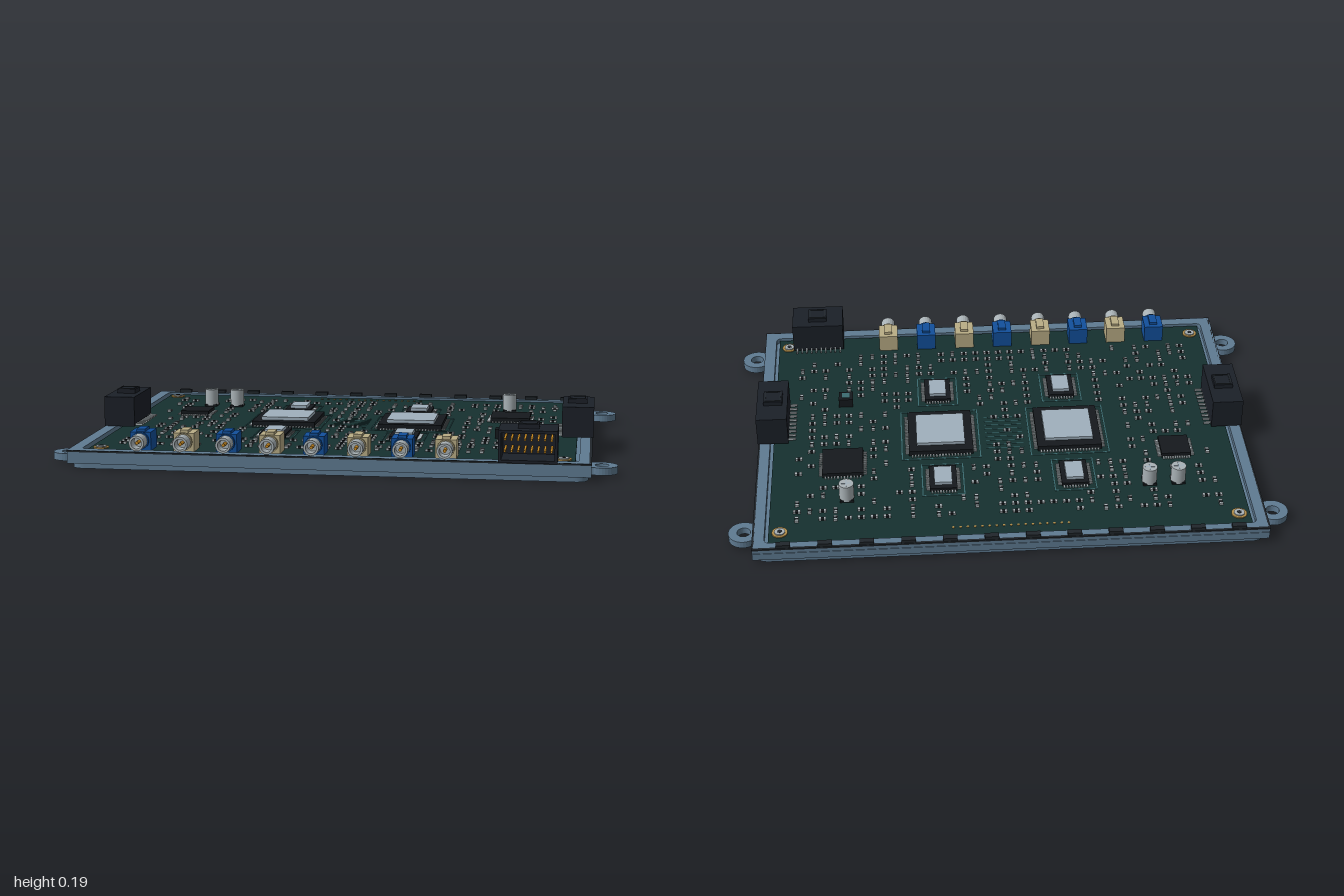
import * as THREE from 'three';
import { mergeGeometries } from 'three/addons/utils/BufferGeometryUtils.js';

const mat = (color) => new THREE.MeshStandardMaterial({ color });
const M = {
  metal: mat(0x5f7b92), board: mat(0x15302f), black: mat(0x1b2028), chip: mat(0x15191d),
  lid: mat(0x9fb0bd), pad: mat(0xa9b2b6), gold: mat(0xb08d4a), pin: mat(0xc98a22),
  blue: mat(0x12509c), beige: mat(0xb9ad86), line: mat(0x3b6b70), dark: mat(0x20262b),
};
const TOP = 0.058; // board surface height

function add(parent, name, geo, material, x = 0, y = 0, z = 0) {
  const m = new THREE.Mesh(geo, material);
  m.name = name;
  m.position.set(x, y, z);
  parent.add(m);
  return m;
}
const box = (w, h, d, x = 0, y = 0, z = 0) => new THREE.BoxGeometry(w, h, d).translate(x, y, z);
const cyl = (r, h, x = 0, y = 0, z = 0, n = 24) => new THREE.CylinderGeometry(r, r, h, n).translate(x, y, z);
const extrude = (shape, depth) => new THREE.ExtrudeGeometry(shape, { depth, bevelEnabled: false, curveSegments: 16 });
const flat = (shape, h) => extrude(shape, h).rotateX(-Math.PI / 2);

function rect(P, x0, y0, x1, y1, r = 0.001) {
  const s = new P();
  s.moveTo(x0 + r, y0); s.lineTo(x1 - r, y0); s.quadraticCurveTo(x1, y0, x1, y0 + r);
  s.lineTo(x1, y1 - r); s.quadraticCurveTo(x1, y1, x1 - r, y1);
  s.lineTo(x0 + r, y1); s.quadraticCurveTo(x0, y1, x0, y1 - r);
  s.lineTo(x0, y0 + r); s.quadraticCurveTo(x0, y0, x0 + r, y0);
  return s;
}
function ring(R, r, h) {
  const s = new THREE.Shape().absarc(0, 0, R, 0, Math.PI * 2);
  s.holes.push(new THREE.Path().absarc(0, 0, r, 0, Math.PI * 2, true));
  return flat(s, h);
}
function frame(w, d, t, h) { // thin rectangular outline
  return mergeGeometries([-1, 1].flatMap((s) => [
    box(w, h, t, 0, 0, s * (d - t) / 2), box(t, h, d - 2 * t, s * (w - t) / 2, 0, 0)]));
}

// Tray with raised rim, rounded base plate and four mounting ears
function tray() {
  const g = new THREE.Group(); g.name = 'tray';
  add(g, 'basePlate', flat(rect(THREE.Shape, -0.9, -0.665, 0.9, 0.68, 0.05), 0.018), M.metal);
  add(g, 'trayFloor', box(1.816, 0.027, 1.36, 0, 0.0315, -0.01), M.metal);
  const wall = rect(THREE.Shape, -0.91, -0.672, 0.91, 0.688);
  wall.holes.push(rect(THREE.Path, -0.868, -0.632, 0.868, 0.655, 0.02));
  add(g, 'rim', flat(wall, 0.047), M.metal, 0, 0.018, 0);
  add(g, 'rimEdge', frame(1.822, 1.364, 0.009, 0.006), M.dark, 0, 0.062, -0.008);
  for (const sx of [-1, 1]) for (const z of [-0.555, 0.53]) {
    add(g, 'mountingEar', ring(0.055, 0.024, 0.026), M.metal, sx * 0.945, 0.009, z);
    add(g, 'earTab', box(0.018, 0.026, 0.1), M.metal, sx * 0.908, 0.022, z);
  }
  const clips = [];
  for (let i = 0; i < 12; i++) clips.push(box(0.05, 0.015, 0.022, -0.8 + i * 0.1455, 0.07, -0.677));
  add(g, 'rearClips', mergeGeometries(clips), M.dark);
  return g;
}

// Packaged chip with leads on four sides, optional metal lid and board outline
function chip(x, z, w, d, h, n, lid, outline) {
  const g = new THREE.Group(); g.name = 'chip';
  g.position.set(x, TOP, z);
  add(g, 'package', box(w, h, d), M.chip, 0, h / 2, 0);
  const leads = [];
  const nz = Math.round(n * d / w);
  for (const s of [-1, 1]) {
    for (let i = 0; i < n; i++) leads.push(box(0.006, 0.004, 0.014, ((i + 0.5) / n - 0.5) * w * 0.94, 0.003, s * (d / 2 + 0.006)));
    for (let i = 0; i < nz; i++) leads.push(box(0.014, 0.004, 0.006, s * (w / 2 + 0.006), 0.003, ((i + 0.5) / nz - 0.5) * d * 0.94));
  }
  add(g, 'leads', mergeGeometries(leads), M.pad);
  if (lid) add(g, 'lid', box(lid[0], 0.012, lid[1]), M.lid, 0, h + 0.006, 0);
  if (outline) add(g, 'outline', frame(outline[0], outline[1], 0.004, 0.002), M.line, 0, 0.001, 0);
  return g;
}

// Open header facing local +z, with pins inside, a latch on top and rear leads
function header(name, w, d, bays) {
  const g = new THREE.Group(); g.name = name;
  const h = 0.112, t = 0.01, bw = (w - t) / bays;
  const shell = rect(THREE.Shape, -w / 2, 0, w / 2, h);
  const pins = [], leads = [];
  for (let b = 0; b < bays; b++) {
    const x0 = -w / 2 + t + b * bw;
    shell.holes.push(rect(THREE.Path, x0, t, x0 + bw - t, h - t));
    const n = Math.round(bw / 0.025);
    for (let i = 0; i < n; i++) for (const y of [0.035, 0.075])
      pins.push(box(0.007, 0.007, d * 0.7, x0 + (i + 0.5) * (bw - t) / n, y, -d * 0.55));
  }
  for (let i = 0; i < 10; i++) leads.push(box(0.006, 0.008, 0.03, ((i + 0.5) / 10 - 0.5) * w * 0.95, 0.006, -d - 0.012));
  add(g, 'shell', extrude(shell, d - 0.02), M.black, 0, 0, -d + 0.02);
  add(g, 'backWall', box(w, h, 0.02), M.black, 0, h / 2, -d + 0.01);
  add(g, 'pins', mergeGeometries(pins), M.pin);
  add(g, 'leads', mergeGeometries(leads), M.pad);
  add(g, 'latch', box(0.072, 0.016, 0.07), M.black, 0, h + 0.008, -d * 0.53);
  add(g, 'latchEdge', frame(0.062, 0.06, 0.004, 0.003), M.dark, 0, h + 0.017, -d * 0.53);
  return g;
}

// Coaxial socket: coloured housing, stepped hollow barrel and centre pin
function coax(x, material) {
  const g = new THREE.Group(); g.name = 'coaxSocket';
  g.position.set(x, 0, 0);
  add(g, 'housing', box(0.074, 0.066, 0.085), material, 0, 0.092, 0.57);
  add(g, 'key', box(0.03, 0.012, 0.06), material, 0, 0.129, 0.575);
  add(g, 'collar', cyl(0.031, 0.012).rotateX(Math.PI / 2), material, 0, 0.095, 0.617);
  const p = [[0, 0], [0.027, 0], [0.027, 0.058], [0.019, 0.058], [0.019, 0.012], [0, 0.012]];
  const barrel = new THREE.LatheGeometry(p.map(([r, y]) => new THREE.Vector2(r, y)), 20)
    .toNonIndexed().rotateX(Math.PI / 2);
  barrel.computeVertexNormals();
  add(g, 'barrel', barrel, M.pad, 0, 0.095, 0.615);
  add(g, 'centrePin', cyl(0.006, 0.05, 0, 0, 0, 8).rotateX(Math.PI / 2), M.pin, 0, 0.095, 0.64);
  return g;
}

// Small two-ended parts scattered on a grid, clear of the larger parts
function passives(keepOut) {
  let seed = 7;
  const rnd = () => (seed = (seed * 16807) % 2147483647) / 2147483647;
  const bodies = [], ends = [];
  for (let i = 0; i < 34; i++) for (let j = 0; j < 24; j++) {
    const x = -0.76 + i * 0.046, z = -0.53 + j * 0.044;
    const skip = rnd() > 0.6, turn = rnd() > 0.55;
    if (skip || keepOut.some(([cx, cz, a, b]) => Math.abs(x - cx) < a + 0.015 && Math.abs(z - cz) < b + 0.015)) continue;
    const put = (list, l, w, h, o) => list.push(turn
      ? box(w, h, l, x, TOP + h / 2, z + o) : box(l, h, w, x + o, TOP + h / 2, z));
    put(bodies, 0.012, 0.012, 0.007, 0);
    for (const s of [-1, 1]) put(ends, 0.008, 0.014, 0.008, s * 0.009);
  }
  const g = new THREE.Group(); g.name = 'passives';
  add(g, 'passiveBodies', mergeGeometries(bodies), M.chip);
  add(g, 'passiveEnds', mergeGeometries(ends), M.pad);
  return g;
}

export function createModel() {
  const root = new THREE.Group(); root.name = 'controlUnit';
  root.add(tray());
  add(root, 'circuitBoard', box(1.71, 0.014, 1.275), M.board, 0, TOP - 0.007, -0.012);

  // Chips
  const keepOut = [];
  for (const x of [-0.25, 0.23]) {
    root.add(chip(x, -0.055, 0.24, 0.25, 0.02, 20, [0.18, 0.18], [0.295, 0.3]));
    keepOut.push([x, -0.055, 0.15, 0.16]);
    for (const z of [-0.33, 0.225]) {
      root.add(chip(x, z, 0.1, 0.135, 0.014, 9, [0.065, 0.095], [0.155, 0.185]));
      keepOut.push([x, z, 0.08, 0.095]);
    }
  }
  for (const [x, z, w] of [[-0.64, -0.195, 0.11], [0.595, -0.215, 0.15]]) {
    root.add(chip(x, z, w, w, 0.018, 12, null, null));
    keepOut.push([x, z, w / 2 + 0.02, w / 2 + 0.02]);
  }
  const traces = [];
  for (let i = 0; i < 9; i++) traces.push(box(0.14, 0.001, 0.003, -0.01, TOP + 0.0005, -0.15 + i * 0.024));
  add(root, 'traces', mergeGeometries(traces), M.line);

  // Round capacitors with cross vents, and an inductor
  for (const [x, z] of [[-0.625, -0.39], [-0.52, -0.39], [0.58, -0.415]]) {
    add(root, 'capacitorBase', box(0.05, 0.008, 0.05), M.chip, x, TOP + 0.004, z);
    add(root, 'capacitor', cyl(0.027, 0.064), M.pad, x, TOP + 0.036, z);
    const vent = mergeGeometries([box(0.036, 0.001, 0.004), box(0.004, 0.001, 0.036)]);
    add(root, 'capacitorVent', vent, M.lid, x, TOP + 0.0685, z);
    keepOut.push([x, z, 0.035, 0.035]);
  }
  add(root, 'inductor', box(0.054, 0.034, 0.054), M.chip, 0.585, TOP + 0.017, 0.175);
  add(root, 'inductorTop', box(0.03, 0.003, 0.03), M.line, 0.585, TOP + 0.0355, 0.175);
  keepOut.push([0.585, 0.175, 0.04, 0.04]);

  // Corner screws
  for (const x of [-0.815, 0.815]) for (const z of [-0.595, 0.57]) {
    add(root, 'screwRing', ring(0.028, 0.019, 0.004), M.gold, x, TOP, z);
    add(root, 'screwHead', cyl(0.019, 0.008), M.pad, x, TOP + 0.004, z);
    add(root, 'screwSocket', cyl(0.009, 0.001, 0, 0, 0, 6), M.dark, x, TOP + 0.0085, z);
  }

  // Gold test pads along the rear
  const pads = [];
  for (let i = 0; i < 17; i++) pads.push(cyl(0.005, 0.002, -0.205 + i * 0.0256, TOP + 0.001, -0.605, 8));
  add(root, 'testPads', mergeGeometries(pads), M.gold);

  // Connectors
  [-0.66, -0.505, -0.353, -0.2, -0.045, 0.108, 0.262, 0.414].forEach((x, i) =>
    root.add(coax(x, i % 2 ? M.beige : M.blue)));
  for (const s of [-1, 1]) {
    const h = header('sideHeader', 0.252, 0.115, 2);
    h.rotation.y = s * Math.PI / 2;
    h.position.set(s * 0.914, 0.064, 0.047);
    root.add(h);
    keepOut.push([s * 0.82, 0.047, 0.07, 0.14]);
  }
  const front = header('frontHeader', 0.2, 0.145, 1);
  front.position.set(0.696, 0.064, 0.688);
  root.add(front);
  keepOut.push([0.696, 0.6, 0.11, 0.11]);

  root.add(passives(keepOut));
  return root;
}
